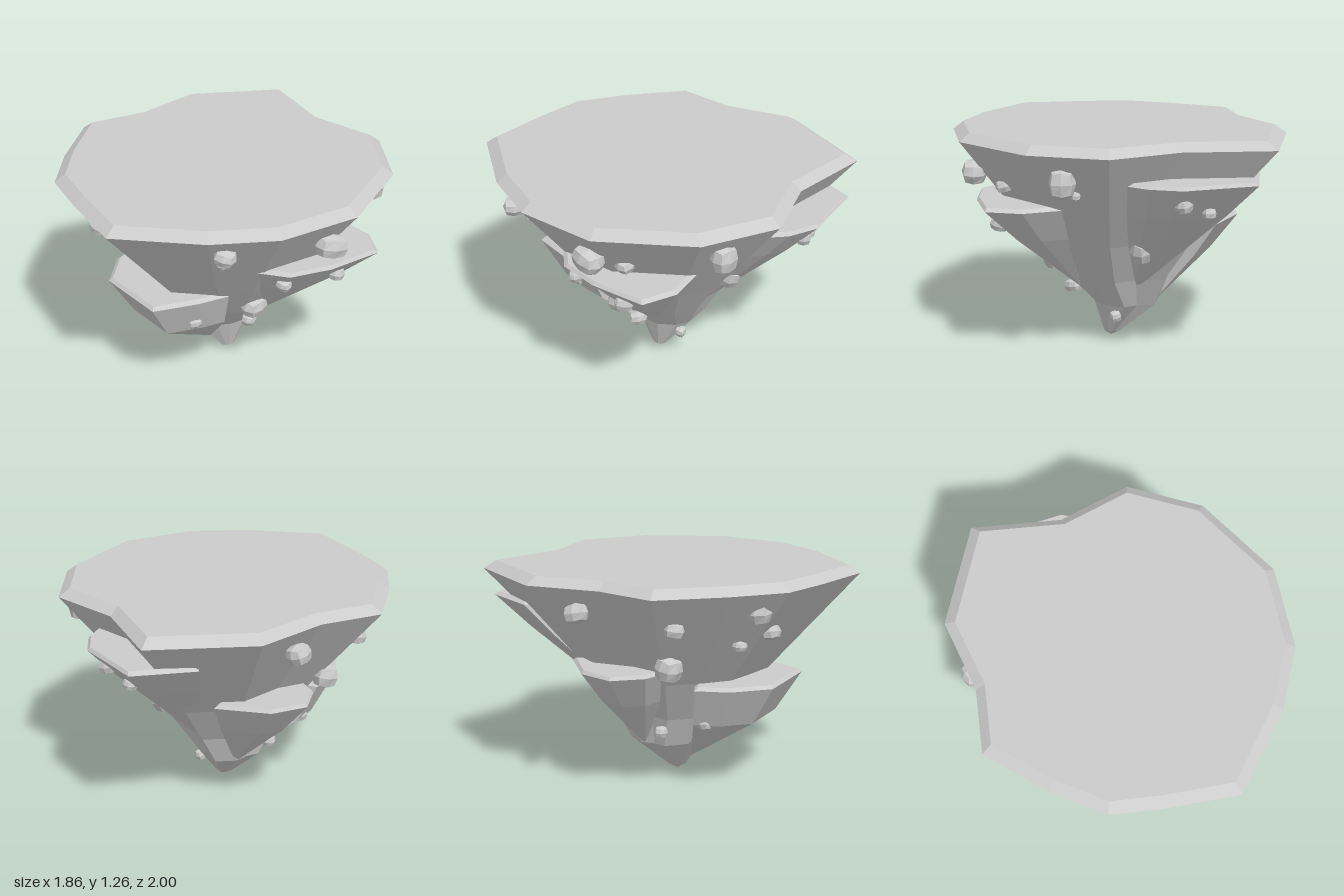
import * as THREE from 'three';

const material = new THREE.MeshStandardMaterial({ color: 0xcccccc, flatShading: true });

// Closed faceted solid: rings run from top to bottom, clockwise seen from above, ending in a tip
function loft(name, rings, tip) {
  const pos = [];
  const tri = (...points) => points.forEach((p) => pos.push(p.x, p.y, p.z));
  const n = rings[0].length;
  const centre = new THREE.Vector3();
  rings[0].forEach((p) => centre.addScaledVector(p, 1 / n));
  for (let i = 0; i < n; i++) {
    const j = (i + 1) % n;
    tri(centre, rings[0][j], rings[0][i]);
    for (let r = 0; r < rings.length - 1; r++) {
      const U = rings[r], L = rings[r + 1];
      tri(U[j], L[j], L[i]);
      tri(U[j], L[i], U[i]);
    }
    const last = rings[rings.length - 1];
    tri(last[j], tip, last[i]);
  }
  const geometry = new THREE.BufferGeometry();
  geometry.setAttribute('position', new THREE.Float32BufferAttribute(pos, 3));
  geometry.computeVertexNormals();
  const mesh = new THREE.Mesh(geometry, material);
  mesh.name = name;
  return mesh;
}

// Tapering main rock with a bevelled flat top
function createBody() {
  const outline = [
    [-0.47, -1], [0, -0.83], [0.42, -0.86], [0.75, -0.57], [0.925, -0.05], [0.815, 0.4], [0.585, 0.69],
    [0.185, 1], [-0.2, 0.895], [-0.48, 0.8], [-0.7, 0.56], [-0.93, 0.23], [-0.82, -0.11], [-0.825, -0.53],
  ];
  // Height, scale, x shift, z shift
  const profile = [
    [1.265, 0.935, 0, 0], [1.22, 1, 0, 0], [0.65, 0.515, 0.01, -0.01],
    [0.4, 0.325, -0.01, -0.02], [0.22, 0.2, -0.06, -0.04], [0.03, 0.05, 0.015, -0.02],
  ];
  const rings = profile.map(([y, s, dx, dz]) =>
    outline.map(([x, z]) => new THREE.Vector3(x * s + dx, y, z * s + dz)));
  return loft('islandBody', rings, new THREE.Vector3(0.02, 0, -0.02));
}

// Flat-topped ledge narrowing to a tip; midT and bulge place the fold below the rim
function createLedge(name, y, rim, tip, midT, bulge) {
  const t = new THREE.Vector3(...tip);
  const outer = rim.map(([x, z]) => new THREE.Vector3(x, y - 0.018, z));
  const centre = new THREE.Vector3();
  outer.forEach((p) => centre.addScaledVector(p, 1 / outer.length));
  const top = outer.map((p) => p.clone().lerp(centre, 0.07).setY(y));
  const fold = outer.map((p) => {
    const v = t.clone().lerp(p, bulge);
    v.y = THREE.MathUtils.lerp(t.y, p.y, midT);
    return v;
  });
  return loft(name, [top, outer, fold], t);
}

// Rounded-off block used for every loose stone
function createStoneGeometry() {
  const geometry = new THREE.BoxGeometry(1, 1, 1, 2, 2, 2);
  const p = geometry.attributes.position;
  const v = new THREE.Vector3(), ball = new THREE.Vector3();
  for (let i = 0; i < p.count; i++) {
    v.fromBufferAttribute(p, i);
    ball.copy(v).normalize().multiplyScalar(0.56);
    v.lerp(ball, 0.8);
    p.setXYZ(i, v.x, v.y, v.z);
  }
  geometry.computeVertexNormals();
  return geometry;
}

export function createModel() {
  const model = new THREE.Group();
  model.name = 'floatingIsland';
  model.add(createBody());

  // Ledges around the sides
  model.add(createLedge('frontLedge', 0.65,
    [[0, 0.1], [0.34, 0.29], [0.28, 0.46], [0.16, 0.69], [-0.25, 0.65], [-0.4, 0.46], [-0.45, 0.27]],
    [-0.02, 0.1, 0.08], 0.57, 0.77));
  model.add(createLedge('rightSideLedge', 0.905,
    [[0.5, -0.45], [0.72, -0.43], [0.88, -0.31], [0.82, 0.0], [0.72, 0.22], [0.55, 0.32], [0.3, 0]],
    [0.24, 0.34, -0.08], 0.65, 0.68));
  model.add(createLedge('backLedge', 1.065,
    [[-0.36, -1], [-0.17, -0.975], [0.05, -0.95], [0.19, -0.84], [0.32, -0.62], [-0.1, -0.4], [-0.55, -0.7]],
    [-0.03, 0.33, -0.24], 0.74, 0.76));
  model.add(createLedge('leftSideLedge', 0.74,
    [[-0.41, -0.48], [-0.25, -0.15], [-0.46, 0.12], [-0.62, 0.06], [-0.73, -0.1], [-0.66, -0.3]],
    [-0.2, 0.2, -0.13], 0.63, 0.68));

  // Stones: x, y, z, width, height, depth
  const stones = [
    [-0.45, 1.1, 0.63, 0.16, 0.12, 0.13], [-0.73, 1.03, 0.27, 0.1, 0.08, 0.1],
    [-0.3, 0.96, 0.65, 0.11, 0.08, 0.1], [-0.43, 0.9, 0.52, 0.07, 0.05, 0.07],
    [-0.59, 0.78, 0.18, 0.13, 0.13, 0.13], [-0.8, 1.09, -0.25, 0.11, 0.1, 0.12],
    [0.6, 1.11, 0.58, 0.11, 0.08, 0.11], [0.52, 1.01, 0.52, 0.05, 0.05, 0.06],
    [0.82, 1.04, 0.02, 0.13, 0.12, 0.17], [0.7, 0.98, -0.13, 0.1, 0.07, 0.1],
    [0.65, 0.8, 0.19, 0.08, 0.06, 0.07], [0.74, 0.77, -0.14, 0.08, 0.07, 0.1],
    [0.33, 0.475, 0.08, 0.12, 0.11, 0.15], [0.2, 0.465, 0.42, 0.08, 0.06, 0.08],
    [-0.31, 0.41, 0.28, 0.08, 0.07, 0.08], [-0.32, 0.33, 0.02, 0.07, 0.06, 0.07],
    [0.24, 0.32, 0.02, 0.08, 0.07, 0.1], [0.06, 0.16, -0.17, 0.06, 0.06, 0.06],
    [0.57, 1.07, -0.62, 0.13, 0.15, 0.12], [0.48, 0.99, -0.58, 0.05, 0.05, 0.05],
    [0.04, 0.62, -0.46, 0.12, 0.14, 0.11], [0, 0.95, -0.86, 0.09, 0.08, 0.08],
    [-0.16, 0.89, -0.84, 0.07, 0.06, 0.07], [0.14, 0.5, -0.33, 0.04, 0.04, 0.04],
  ];
  const stoneGeometry = createStoneGeometry();
  const group = new THREE.Group();
  group.name = 'stones';
  stones.forEach(([x, y, z, w, h, d], i) => {
    const stone = new THREE.Mesh(stoneGeometry, material);
    stone.name = 'stone';
    stone.position.set(x, y, z);
    stone.scale.set(w, h, d);
    stone.rotation.set(0.2 * Math.sin(i * 2.1), 0.5 * Math.sin(i * 1.3), -0.1 + 0.15 * Math.cos(i * 1.7));
    group.add(stone);
  });
  model.add(group);
  return model;
}
